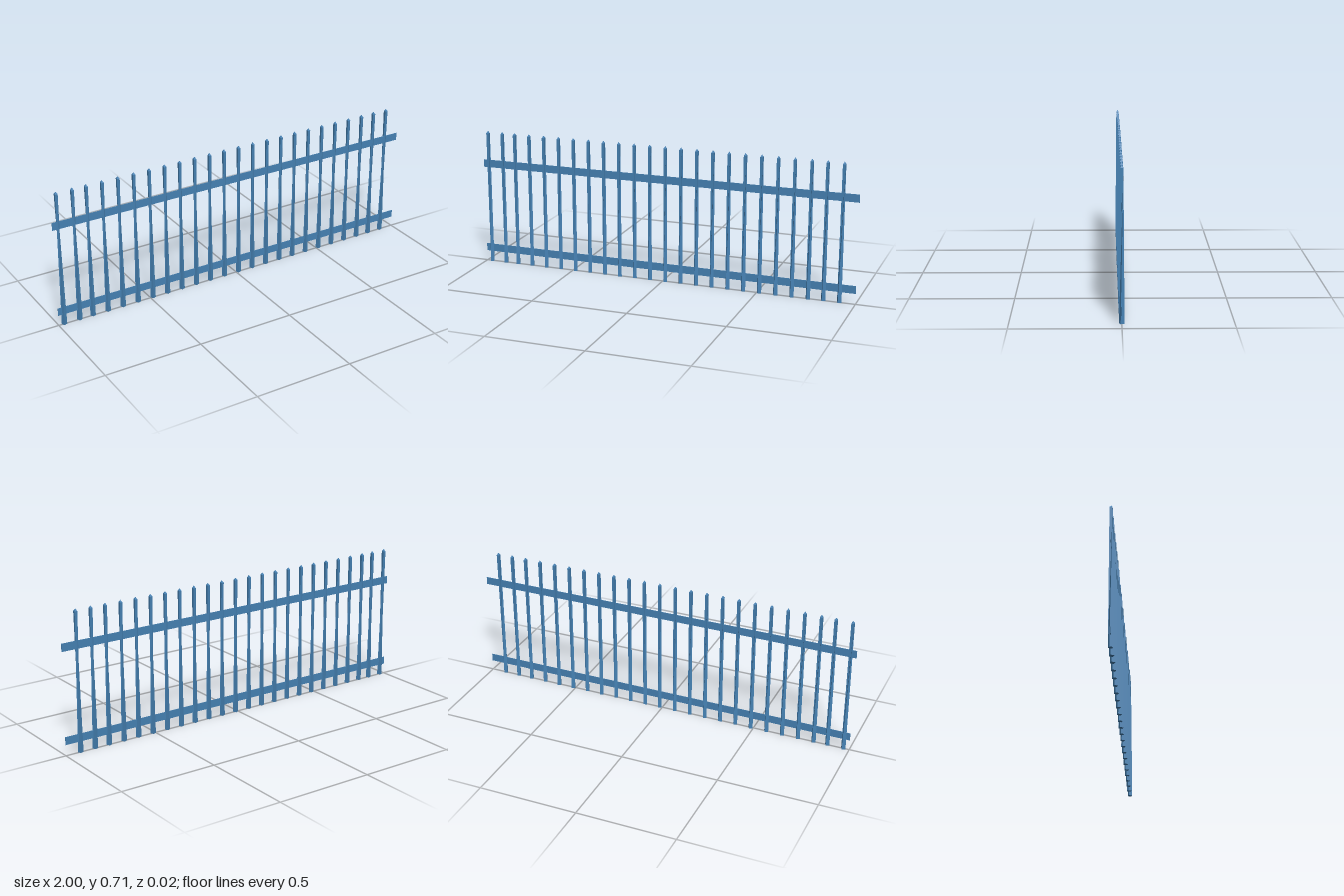
import * as THREE from 'three';

const POST_HEIGHT = 0.698, TIP_HEIGHT = 0.012;
const BOTTOM_RADIUS = 0.0133, TOP_RADIUS = 0.0099;

// Square tapered shaft whose corners turn between foot and shoulder
function createShaftGeometry() {
  const geometry = new THREE.CylinderGeometry(TOP_RADIUS, BOTTOM_RADIUS, POST_HEIGHT, 4, 1);
  geometry.translate(0, POST_HEIGHT / 2, 0);
  const pos = geometry.attributes.position;
  for (let i = 0; i < pos.count; i++) {
    const degrees = pos.getY(i) > POST_HEIGHT / 2 ? -45 : 22;
    const a = THREE.MathUtils.degToRad(degrees);
    const x = pos.getX(i), z = pos.getZ(i);
    pos.setX(i, x * Math.cos(a) - z * Math.sin(a));
    pos.setZ(i, x * Math.sin(a) + z * Math.cos(a));
  }
  geometry.computeVertexNormals();
  return geometry;
}

export function createModel() {
  const fence = new THREE.Group();
  fence.name = 'fence';
  const material = new THREE.MeshStandardMaterial({ color: 0x4682b4, flatShading: true });

  // Pickets: evenly spaced, slightly closer together near both ends
  const shaft = createShaftGeometry();
  const tip = new THREE.ConeGeometry(TOP_RADIUS, TIP_HEIGHT, 4);
  tip.rotateY(Math.PI / 4);
  tip.translate(0, POST_HEIGHT + TIP_HEIGHT / 2, 0);

  const positions = [-0.97, -0.888, -0.817];
  for (let i = 0; i < 19; i++) positions.push(-0.735 + i * 0.0832);
  positions.push(0.84, 0.92);

  positions.forEach((x, i) => {
    const picket = new THREE.Group();
    picket.name = `picket${i + 1}`;
    const shaftMesh = new THREE.Mesh(shaft, material);
    shaftMesh.name = 'picketShaft';
    const tipMesh = new THREE.Mesh(tip, material);
    tipMesh.name = 'picketTip';
    picket.add(shaftMesh, tipMesh);
    picket.position.x = x;
    fence.add(picket);
  });

  // Two thin horizontal rails running through the pickets
  const railGeometry = new THREE.BoxGeometry(2, 0.04, 0.002);
  for (const [name, y] of [['lowerRail', 0.074], ['upperRail', 0.535]]) {
    const rail = new THREE.Mesh(railGeometry, material);
    rail.name = name;
    rail.position.y = y;
    fence.add(rail);
  }
  return fence;
}
